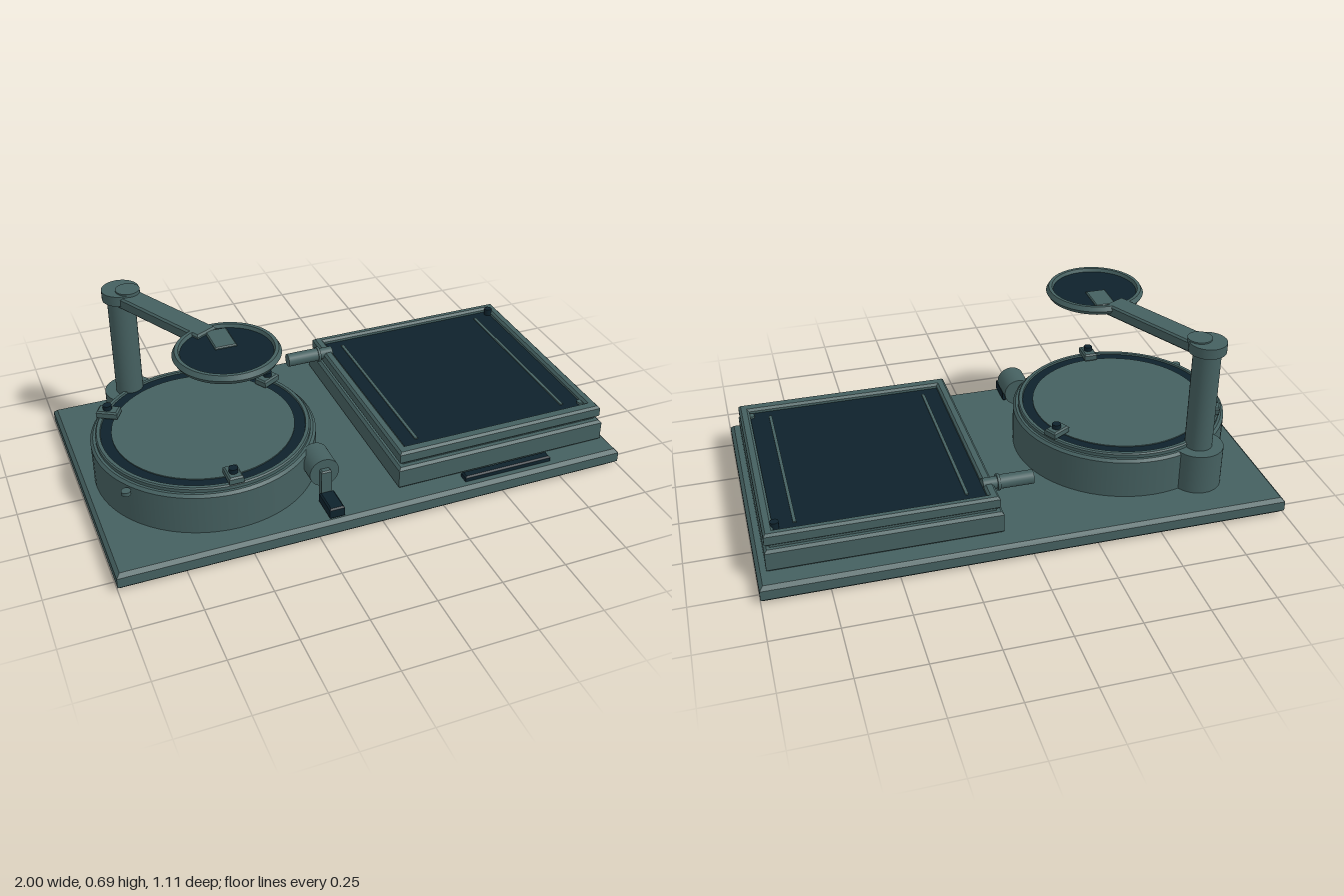
import * as THREE from 'three';

const teal = new THREE.MeshStandardMaterial({ color: 0x456060 });
teal.name = 'slate teal';
const dark = new THREE.MeshStandardMaterial({ color: 0x0e222c });
dark.name = 'ink navy';

// Box with chamfered edges given by its min and max corners
function chamferBox(x0, x1, y0, y1, z0, z1, c) {
  const w = (x1 - x0) / 2 - c, d = (z1 - z0) / 2 - c;
  const s = new THREE.Shape();
  s.moveTo(-w, -d);
  s.lineTo(w, -d);
  s.lineTo(w, d);
  s.lineTo(-w, d);
  s.closePath();
  const g = new THREE.ExtrudeGeometry(s, {
    depth: y1 - y0 - 2 * c, bevelEnabled: true, bevelThickness: c, bevelSize: c, bevelSegments: 1,
  });
  g.translate(0, 0, c);
  g.rotateX(-Math.PI / 2);
  g.translate((x0 + x1) / 2, y0, (z0 + z1) / 2);
  return g;
}

function add(parent, name, geometry, material = teal) {
  const m = new THREE.Mesh(geometry, material);
  m.name = name;
  parent.add(m);
  return m;
}

// Upright cylinder between two heights
function disc(parent, name, x, z, r, y0, y1, material = teal, sides = 32) {
  const m = add(parent, name, new THREE.CylinderGeometry(r, r, y1 - y0, sides), material);
  m.position.set(x, (y0 + y1) / 2, z);
  return m;
}

// Faceted-profile lathe: each profile segment is its own band so edges stay sharp
function bands(parent, name, x, z, profile, material = teal) {
  const g = new THREE.Group();
  g.name = name;
  g.position.set(x, 0, z);
  for (let i = 0; i + 1 < profile.length; i++) {
    const pts = [profile[i], profile[i + 1]].map(p => new THREE.Vector2(...p));
    add(g, name + 'Band', new THREE.LatheGeometry(pts, 64), material);
  }
  parent.add(g);
  return g;
}

export function createModel() {
  const model = new THREE.Group();
  model.name = 'viewingStation';

  // Base slab and feet
  add(model, 'base', chamferBox(-1, 1, 0.001, 0.068, -0.553, 0.553, 0.014));
  for (const x of [-0.86, 0.86]) for (const z of [-0.42, 0.42]) disc(model, 'foot', x, z, 0.025, 0, 0.01, dark, 20);

  // Round drum with rim, dark channel and turning plate
  const cx = -0.525, cz = 0.035;
  bands(model, 'drum', cx, cz, [
    [0.425, 0.066], [0.425, 0.222], [0.415, 0.232], [0.405, 0.232], [0.405, 0.245],
    [0.4, 0.25], [0.387, 0.25], [0.385, 0.242],
  ]);
  disc(model, 'darkChannel', cx, cz, 0.388, 0.225, 0.243, dark, 64);
  disc(model, 'turningPlate', cx, cz, 0.345, 0.23, 0.247, teal, 64);
  disc(model, 'indexPin', -0.89, 0.295, 0.018, 0.205, 0.22, teal, 16);

  // Three clamps around the plate
  for (const a of [0, 1, 2]) {
    const clamp = new THREE.Group();
    clamp.name = 'clamp';
    add(clamp, 'clampBlock', chamferBox(-0.027, 0.027, 0.248, 0.28, 0.327, 0.41, 0.006));
    disc(clamp, 'clampKnob', 0, 0.372, 0.017, 0.278, 0.298, dark, 16);
    clamp.position.set(cx, 0, cz);
    clamp.rotation.y = a * Math.PI * 2 / 3;
    model.add(clamp);
  }

  // Post with boss and cap
  const px = -0.718, pz = -0.335;
  disc(model, 'postBoss', px, pz, 0.097, 0.066, 0.232, teal, 40);
  disc(model, 'post', px, pz, 0.053, 0.23, 0.65);
  disc(model, 'postCap', px, pz, 0.071, 0.641, 0.681);
  disc(model, 'capDisc', -0.695, -0.31, 0.046, 0.67, 0.687);

  // Swing arm and lens
  const ex = -0.503, ez = 0.085;
  const arm = add(model, 'swingArm', chamferBox(-0.046, 0.046, 0.627, 0.674, 0, Math.hypot(ex - px, ez - pz), 0.007));
  arm.position.set(px, 0, pz);
  arm.rotation.y = Math.atan2(ex - px, ez - pz);
  add(model, 'lensBracket', chamferBox(-0.508, -0.428, 0.625, 0.668, 0.07, 0.2, 0.004));
  bands(model, 'lensRing', -0.473, 0.222, [
    [0.163, 0.657], [0.17, 0.641], [0.183, 0.641], [0.193, 0.657], [0.183, 0.674], [0.17, 0.674], [0.163, 0.657],
  ]);
  disc(model, 'lens', -0.473, 0.222, 0.167, 0.652, 0.661, dark, 64);

  // Crank: hub, arm and dark grip
  const hub = add(model, 'crankHub', new THREE.CylinderGeometry(0.057, 0.057, 0.115, 32));
  hub.rotation.x = Math.PI / 2;
  hub.position.set(-0.182, 0.185, 0.355);
  add(model, 'crankArm', chamferBox(-0.202, -0.162, 0.085, 0.205, 0.408, 0.435, 0.005));
  add(model, 'crankGrip', chamferBox(-0.211, -0.153, 0.07, 0.115, 0.432, 0.541, 0.006), dark);

  // Tray body with slot bar in front
  add(model, 'trayBody', chamferBox(0.095, 0.965, 0.068, 0.16, -0.473, 0.467, 0.01));
  add(model, 'slotBar', chamferBox(0.348, 0.712, 0.06, 0.09, 0.48, 0.518, 0.006), dark);

  // Raised frame around a dark screen
  add(model, 'trayDeck', chamferBox(0.12, 0.945, 0.155, 0.18, -0.45, 0.44, 0.005));
  for (const [z0, z1] of [[-0.455, -0.42], [0.402, 0.45]])
    add(model, 'crossRail', chamferBox(0.108, 0.96, 0.165, 0.217, z0, z1, 0.009));
  for (const [x0, x1] of [[0.105, 0.145], [0.922, 0.962]])
    add(model, 'sideRail', chamferBox(x0, x1, 0.165, 0.217, -0.455, 0.45, 0.009));
  add(model, 'screen', new THREE.BoxGeometry(0.79, 0.02, 0.83).translate(0.533, 0.188, -0.008), dark);
  for (const x of [0.212, 0.843])
    add(model, 'guideStrip', new THREE.BoxGeometry(0.012, 0.006, 0.74).translate(x, 0.2, -0.01));
  disc(model, 'cornerPin', 0.915, -0.395, 0.016, 0.2, 0.228, dark, 16);
  disc(model, 'cornerStud', 0.918, 0.375, 0.014, 0.195, 0.207, teal, 16);

  // Side rod with collar
  for (const [name, r, x0, x1] of [['rodGrip', 0.027, -0.05, 0.08], ['rodCollar', 0.032, 0.08, 0.09], ['rodShaft', 0.023, 0.09, 0.145]]) {
    const rod = add(model, name, new THREE.CylinderGeometry(r, r, x1 - x0, 24));
    rod.rotation.z = Math.PI / 2;
    rod.position.set((x0 + x1) / 2, 0.207, -0.342);
  }

  return model;
}
